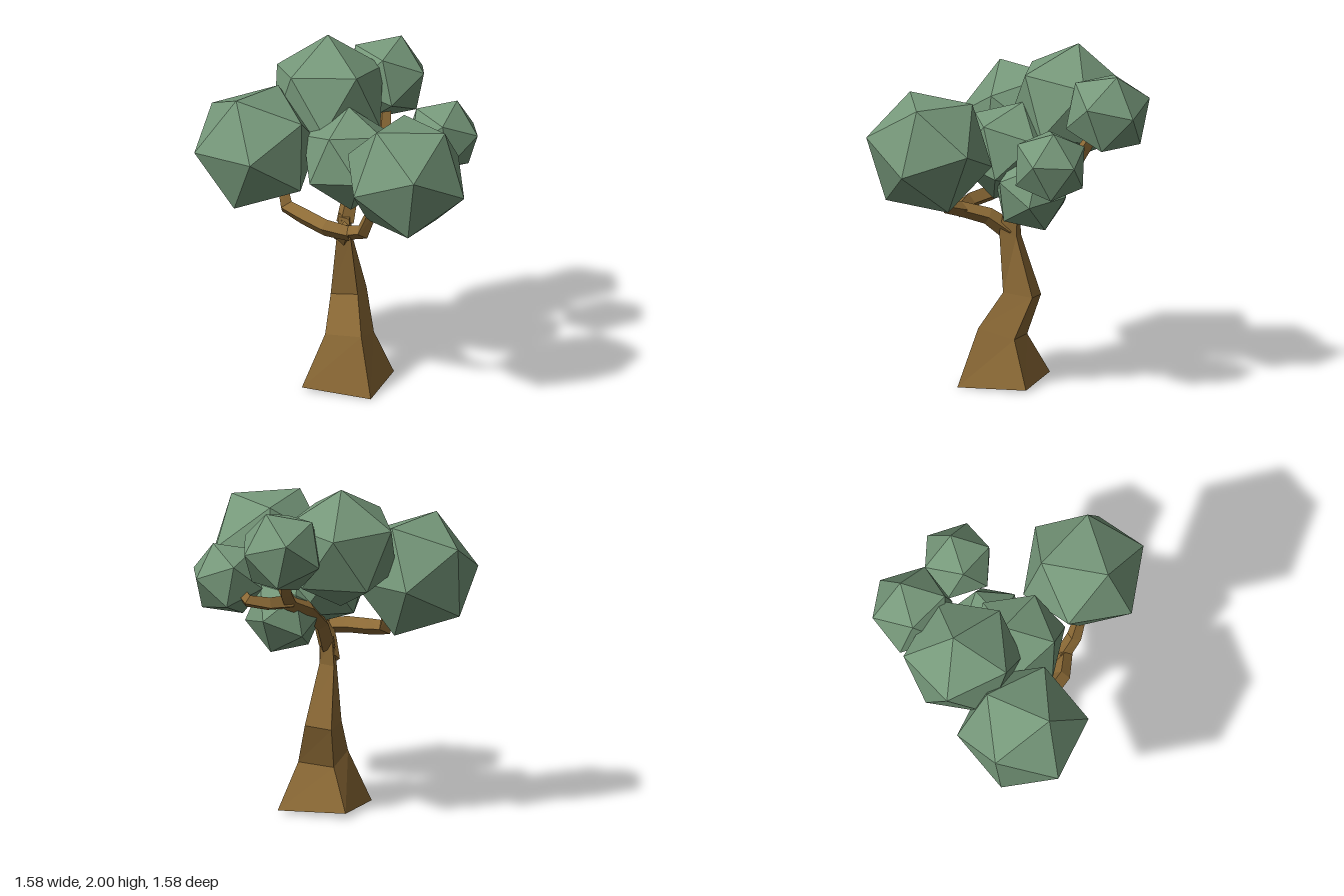
import * as THREE from 'three';

const V = (p) => new THREE.Vector3(...p);

// Rotation frame whose first axis is a, with b in the plane of the first two
function frame(a, b) {
  const x = V(a).normalize();
  const z = x.clone().cross(V(b)).normalize();
  return new THREE.Matrix4().makeBasis(x, z.clone().cross(x), z);
}

// Skin a list of four-cornered rings, closed at both ends
function loft(rings) {
  const pos = [];
  const tri = (...corners) => corners.forEach((c) => pos.push(c.x, c.y, c.z));
  for (let k = 0; k < rings.length - 1; k++) {
    const lo = rings[k], hi = rings[k + 1];
    for (let i = 0; i < 4; i++) {
      const j = (i + 1) % 4;
      tri(lo[i], lo[j], hi[j]);
      tri(lo[i], hi[j], hi[i]);
    }
  }
  const s = rings[0], e = rings[rings.length - 1];
  tri(s[0], s[2], s[1]);
  tri(s[0], s[3], s[2]);
  tri(e[0], e[1], e[2]);
  tri(e[0], e[2], e[3]);
  const g = new THREE.BufferGeometry();
  g.setAttribute('position', new THREE.Float32BufferAttribute(pos, 3));
  g.computeVertexNormals();
  return g;
}

// Square-sectioned limb along points of [x, y, z, half diagonal]
function limb(path) {
  const pts = path.map((p) => V(p.slice(0, 3)));
  const u = new THREE.Vector3(0.6, 0.3, 0.74);
  return loft(pts.map((p, i) => {
    const t = pts[Math.min(i + 1, pts.length - 1)].clone()
      .sub(pts[Math.max(i - 1, 0)]).normalize();
    u.addScaledVector(t, -u.dot(t)).normalize();
    const v = t.clone().cross(u);
    const r = path[i][3];
    return [[u, r], [v, r], [u, -r], [v, -r]].map(([d, k]) => p.clone().addScaledVector(d, k));
  }));
}

export function createModel() {
  const bark = new THREE.MeshStandardMaterial({ color: 0x8c6a36 });
  bark.name = 'bark';
  bark.flatShading = true;
  const leaf = new THREE.MeshStandardMaterial({ color: 0x76987a });
  leaf.name = 'leaf green';
  leaf.flatShading = true;

  const tree = new THREE.Group();
  tree.name = 'tree';
  const add = (name, geometry, material) => {
    const m = new THREE.Mesh(geometry, material);
    m.name = name;
    tree.add(m);
    return m;
  };

  // Trunk: leaning rings, corners in order front, right, back, left
  add('trunk', loft([
    [[-0.09, 0, 0.21], [0.25, 0.015, -0.04], [0, 0.03, -0.38], [-0.34, 0.02, -0.13]],
    [[-0.066, 0.34, 0.08], [0.115, 0.29, -0.05], [-0.015, 0.275, -0.23], [-0.196, 0.33, -0.1]],
    [[0, 0.55, -0.05], [0.14, 0.53, -0.16], [0.04, 0.515, -0.29], [-0.1, 0.535, -0.18]],
    [[-0.045, 0.9, -0.055], [0.02, 0.88, -0.13], [-0.035, 0.87, -0.2], [-0.1, 0.88, -0.125]],
    [[-0.04, 1.02, -0.08], [0.015, 1.02, -0.14], [-0.03, 1.03, -0.19], [-0.08, 1.03, -0.13]],
  ].map((ring) => ring.map(V))), bark);

  // Branches
  const branches = {
    rightBranch: [[-0.03, 0.98, -0.135, 0.055], [0.04, 1.13, -0.18, 0.05],
      [0.18, 1.25, -0.25, 0.05], [0.34, 1.32, -0.26, 0.05]],
    rightBackFork: [[0.31, 1.31, -0.26, 0.05], [0.37, 1.38, -0.31, 0.045], [0.43, 1.52, -0.38, 0.035]],
    rightFrontFork: [[0.3, 1.31, -0.26, 0.05], [0.44, 1.31, -0.24, 0.045],
      [0.55, 1.33, -0.19, 0.04], [0.56, 1.4, -0.08, 0.035]],
    leftBranch: [[-0.05, 0.9, -0.13, 0.06], [-0.11, 0.99, -0.02, 0.05], [-0.19, 1.04, 0.13, 0.045]],
    frontFork: [[-0.18, 1.03, 0.1, 0.045], [-0.16, 1.07, 0.23, 0.045], [-0.14, 1.24, 0.31, 0.035]],
    leftBackFork: [[-0.18, 1.03, 0.13, 0.045], [-0.27, 1.05, 0.01, 0.05],
      [-0.3, 1.07, -0.18, 0.05], [-0.32, 1.09, -0.31, 0.05], [-0.32, 1.22, -0.36, 0.04]],
  };
  for (const name in branches) add(name, limb(branches[name]), bark);

  // Leaf clumps: centre, radius, directions of two neighbouring corners
  const phi = (1 + Math.sqrt(5)) / 2;
  const base = frame([-1, phi, 0], [1, phi, 0]).transpose();
  const clumps = {
    frontClump: [[-0.015, 1.46, 0.46], 0.38, [-0.203, 0.317, -0.006], [0.149, 0.296, 0.19]],
    leftBackClump: [[-0.42, 1.43, -0.477], 0.385, [-0.17, 0.337, 0.042], [-0.25, 0.03, 0.292]],
    topClump: [[0.08, 1.64, -0.457], 0.364, [0.03, 0.36, -0.05], [-0.01, 0.222, 0.287]],
    rightBackClump: [[0.485, 1.665, -0.455], 0.26, [0.26, 0.012, 0], [0.085, 0.23, 0.008]],
    rightFrontClump: [[0.563, 1.43, 0.005], 0.23, [0.223, 0.024, -0.013], [0.085, 0.204, 0.03]],
    lowClump: [[0.235, 1.19, -0.09], 0.233, [0.105, -0.2, -0.02], [-0.105, -0.22, -0.05]],
    middleClump: [[-0.02, 1.39, -0.1], 0.3, [0.29, 0.1, 0.005], [-0.01, 0.17, 0.242]],
  };
  for (const name in clumps) {
    const [centre, radius, a, b] = clumps[name];
    const g = new THREE.IcosahedronGeometry(radius, 0);
    g.applyMatrix4(frame(a, b).multiply(base));
    add(name, g, leaf).position.set(...centre);
  }
  return tree;
}
